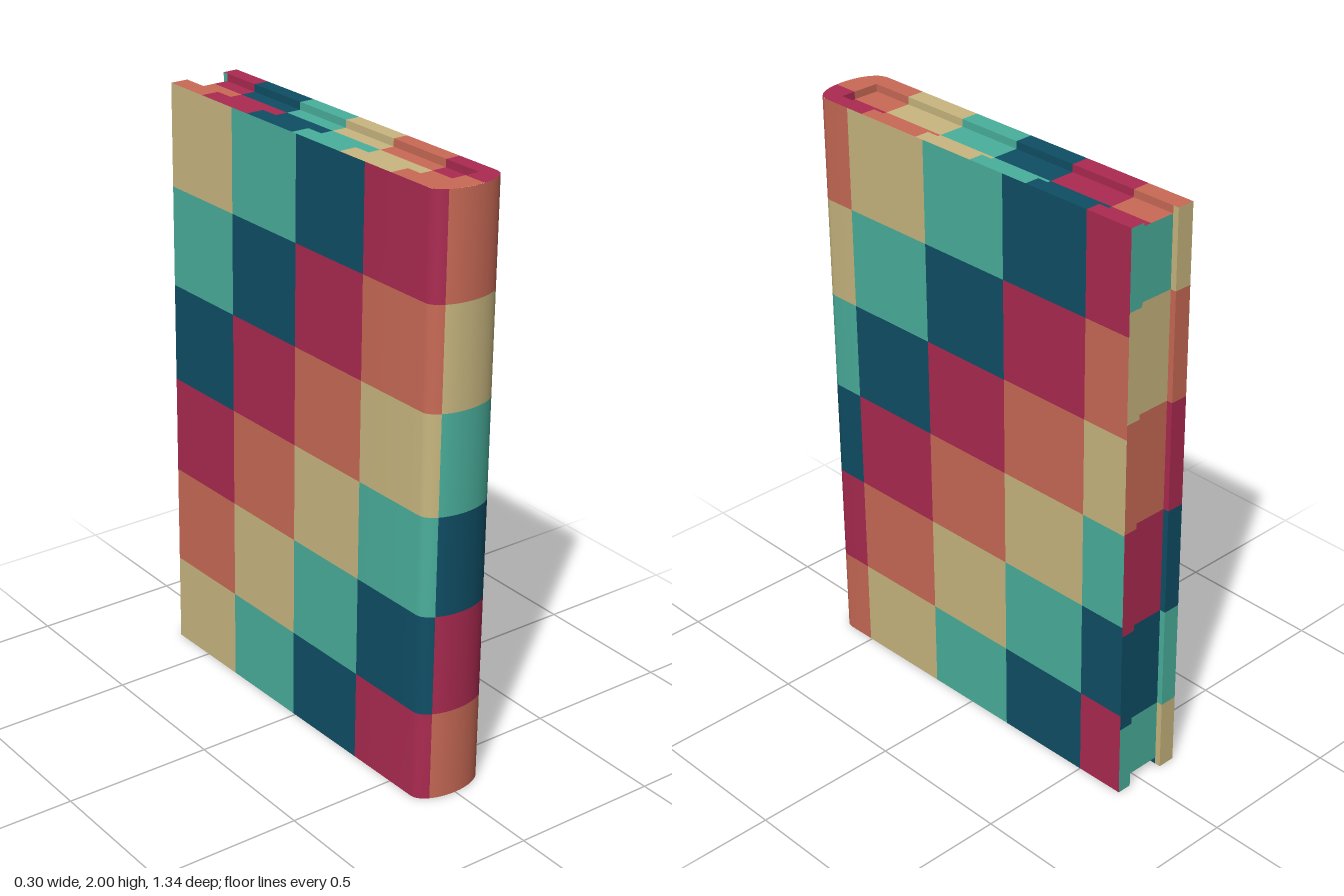
import * as THREE from 'three';
import { toCreasedNormals } from 'three/addons/utils/BufferGeometryUtils.js';

const PALETTE = [['coral', 0xc96a56], ['sand', 0xc9b780], ['teal', 0x4aaf9c], ['navy', 0x0f4e65], ['crimson', 0xab2a51]];
const W = 0.1255, BACK = -0.67, SHOULDER = 0.605, FRONT = 0.67; // cover plan
const PL = -0.065, PR = 0.075, PBACK = -0.65, PFRONT = 0.585, RECESS = 0.025; // page block
const SPLIT = 0.025;
const ROWS = [2, 1.655, 1.315, 0.98, 0.645, 0.305, 0];
const BACK_ROWS = [2, 1.735, 1.365, 0.985, 0.61, 0.25, 0];
const CAP_Z = [-0.5, -0.26, -0.03, 0.2, 0.44];

// The whole book leans and turns very slightly
const lean = ([x, y, z]) => [x + 0.0125 * (y - 1) + 0.02 * z, y, z];

// Collects quads by colour and turns them into one mesh
function patchwork(name, materials) {
  const bins = materials.map(() => []);
  return {
    // corners go round the quad; n is the rough outward direction
    quad(corners, n, colour) {
      const v = corners.map((c) => new THREE.Vector3(...lean(c)));
      const normal = v[2].clone().sub(v[0]).cross(v[3].clone().sub(v[1]));
      if (normal.dot(new THREE.Vector3(...n)) < 0) v.reverse();
      const bin = bins[((colour % 5) + 5) % 5];
      for (const i of [0, 1, 2, 0, 2, 3]) {
        const [a, b, c] = i === 0 ? [v[0], v[1], v[2]] : [];
        bin.push(v[i].x, v[i].y, v[i].z);
      }
    },
    mesh() {
      let geo = new THREE.BufferGeometry();
      geo.setAttribute('position', new THREE.Float32BufferAttribute(bins.flat(), 3));
      let start = 0;
      bins.forEach((b, i) => {
        geo.addGroup(start, b.length / 3, i);
        start += b.length / 3;
      });
      geo = toCreasedNormals(geo, 0.7);
      const m = new THREE.Mesh(geo, materials);
      m.name = name;
      return m;
    },
  };
}

// Half width of the rounded cover at depth z
const halfWidth = (z) => (z <= SHOULDER ? W
  : W * Math.sqrt(Math.max(0, 1 - ((z - SHOULDER) / (FRONT - SHOULDER)) ** 2)));

// Patch colour on the top and bottom edges
function capColour(x, z, top) {
  const i = CAP_Z.filter((b) => z > b).length;
  return top ? -i - (x > SPLIT ? 1 : 0) : 3 - i;
}

export function createModel() {
  const materials = PALETTE.map(([name, color]) => {
    const m = new THREE.MeshStandardMaterial({ color });
    m.name = name;
    return m;
  });
  const cover = patchwork('cover', materials);
  const pages = patchwork('pageBlock', materials);

  // Outer walls: plan points from right back edge, round the spine, to left back edge
  const path = [BACK, -0.34, -0.01, 0.32, SHOULDER].map((z, i) => [-W, z, 1 + Math.min(i, 3)]);
  const N = 20;
  for (let i = 1; i <= N; i++) {
    const a = -Math.PI / 2 + (Math.PI * i) / N;
    const x = W * Math.sin(a);
    path.push([x, SHOULDER + (FRONT - SHOULDER) * Math.cos(a), x < -0.1 ? 4 : 0]);
  }
  [0.505, 0.17, -0.165, -0.5, BACK].forEach((z, i) => path.push([W, z, i + 1]));
  for (let i = 0; i + 1 < path.length; i++) {
    const [x0, z0, c] = path[i], [x1, z1] = path[i + 1];
    for (let r = 0; r < 6; r++) {
      const t = ROWS[r], b = ROWS[r + 1];
      cover.quad([[x0, b, z0], [x1, b, z1], [x1, t, z1], [x0, t, z0]], [z0 - z1, 0, x1 - x0], c + r);
    }
  }

  // Back: board edges, their inner sides and the page ends
  for (let r = 0; r < 6; r++) {
    const t = BACK_ROWS[r], b = BACK_ROWS[r + 1];
    const wallZ = (part, x0, x1, z, y0, y1, c) =>
      part.quad([[x0, y0, z], [x1, y0, z], [x1, y1, z], [x0, y1, z]], [0, 0, -1], c);
    const wallX = (x, n, c) =>
      cover.quad([[x, b, BACK], [x, b, PBACK], [x, t, PBACK], [x, t, BACK]], [n, 0, 0], c);
    wallZ(cover, -W, PL, BACK, b, t, 1 - r);
    wallZ(cover, PR, W, BACK, b, t, 2 - r);
    wallX(PL, 1, 1 - r);
    wallX(PR, -1, 2 - r);
    wallZ(pages, PL, PR, PBACK, Math.max(b, RECESS), Math.min(t, 2 - RECESS), 2 - r);
  }

  // Top and bottom: cover rim, sunken page edges and the rim's inner sides
  const slices = [BACK, PBACK, ...CAP_Z, PFRONT, SHOULDER, 0.625, 0.64, 0.652, 0.66, 0.666, FRONT];
  for (const top of [true, false]) {
    const y = top ? 2 : 0, py = top ? 2 - RECESS : RECESS, up = [0, top ? 1 : -1, 0];
    for (let i = 0; i + 1 < slices.length; i++) {
      const z0 = slices[i], z1 = slices[i + 1], zm = (z0 + z1) / 2;
      const columns = (z) => [-1, PL, SPLIT, PR, 1].map((x) => THREE.MathUtils.clamp(x, -halfWidth(z), halfWidth(z)));
      const a = columns(z0), b = columns(z1);
      for (let k = 0; k < 4; k++) {
        const inner = (k === 1 || k === 2) && zm < PFRONT;
        if (inner && zm < PBACK) continue;
        const h = inner ? py : y;
        const c = capColour(k < 2 ? 0 : 0.1, zm, top);
        (inner ? pages : cover).quad([[a[k], h, z0], [a[k + 1], h, z0], [b[k + 1], h, z1], [b[k], h, z1]], up, c);
      }
      if (zm > PBACK && zm < PFRONT) {
        for (const [x, n] of [[PL, 1], [PR, -1]]) {
          cover.quad([[x, y, z0], [x, y, z1], [x, py, z1], [x, py, z0]], [n, 0, 0], capColour(x, zm, top));
        }
      }
    }
    for (const [x0, x1] of [[PL, SPLIT], [SPLIT, PR]]) {
      cover.quad([[x0, y, PFRONT], [x1, y, PFRONT], [x1, py, PFRONT], [x0, py, PFRONT]], [0, 0, -1],
        capColour((x0 + x1) / 2, PFRONT, top));
    }
  }

  const book = new THREE.Group();
  book.name = 'book';
  book.add(cover.mesh(), pages.mesh());
  return book;
}
